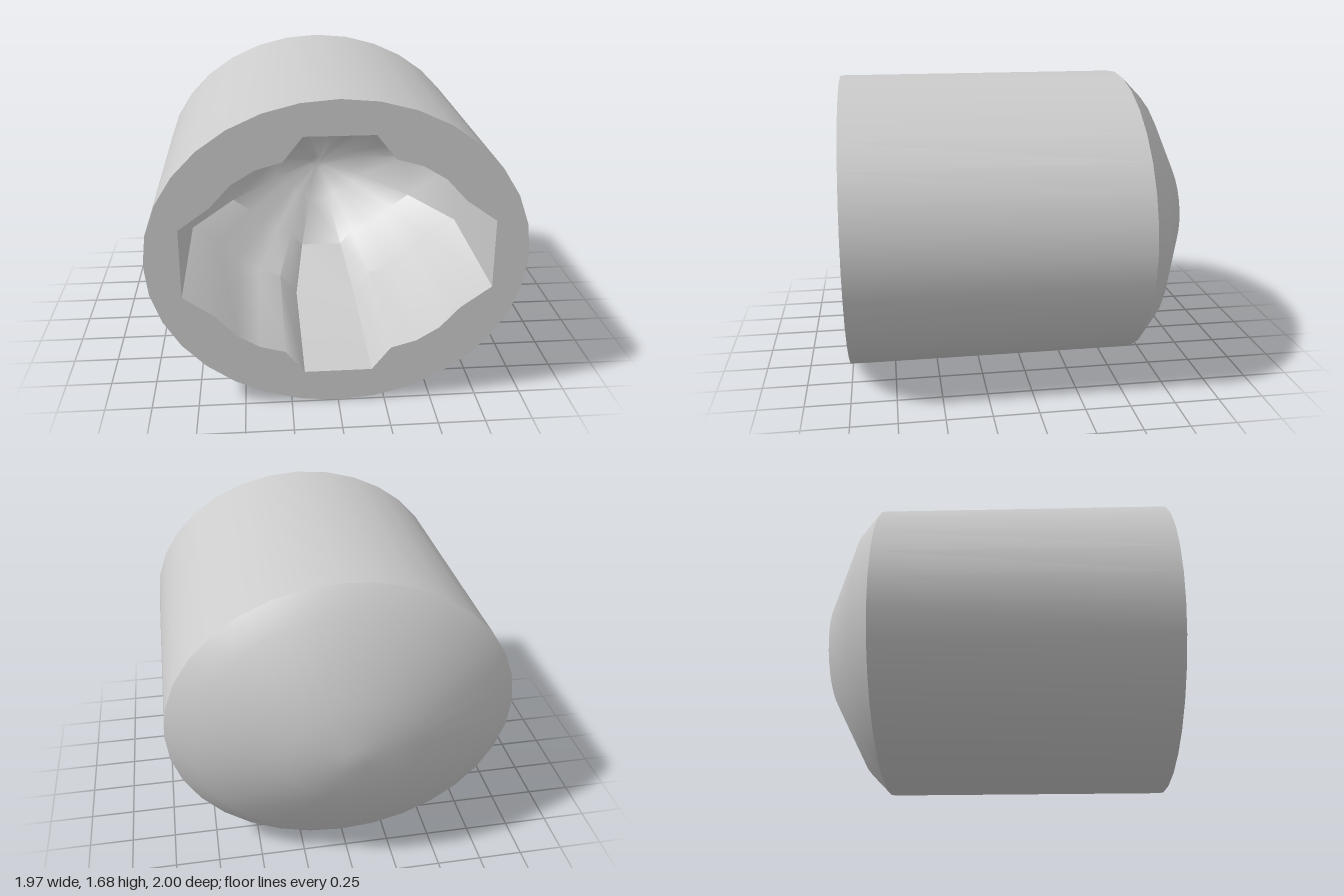
import * as THREE from 'three';
import { toCreasedNormals } from 'three/addons/utils/BufferGeometryUtils.js';

const CENTER_Y = 0.84;

// Skin a closed outline along stations [z, scale]; the last ring is closed flat.
function loft(outline, stations, inward) {
  const n = outline.length, pos = [], index = [];
  const tri = (a, b, c) => (inward ? index.push(a, c, b) : index.push(a, b, c));
  for (const [z, s] of stations) for (const p of outline) pos.push(p.x * s, p.y * s, z);
  for (let r = 0; r < stations.length - 1; r++) {
    for (let i = 0; i < n; i++) {
      const j = (i + 1) % n, a = r * n + i, b = r * n + j;
      tri(a, a + n, b);
      tri(b, a + n, b + n);
    }
  }
  const last = (stations.length - 1) * n, tip = pos.length / 3;
  pos.push(0, 0, stations[stations.length - 1][0]);
  for (let i = 0; i < n; i++) tri(last + i, tip, last + (i + 1) % n);
  const geo = new THREE.BufferGeometry();
  geo.setAttribute('position', new THREE.Float32BufferAttribute(pos, 3));
  geo.setIndex(index);
  return toCreasedNormals(geo, 0.72);
}

export function createModel() {
  const group = new THREE.Group();
  group.name = 'domedSleeve';
  const material = new THREE.MeshStandardMaterial({ color: 0xcccccc });
  const add = (name, geo) => {
    const mesh = new THREE.Mesh(geo, material);
    mesh.name = name;
    mesh.position.y = CENTER_Y;
    group.add(mesh);
  };

  // Oval outside outline, counter-clockwise
  const oval = [];
  for (let i = 0; i < 32; i++) {
    const a = (i / 32) * Math.PI * 2;
    oval.push(new THREE.Vector2(0.987 * Math.cos(a), 0.84 * Math.sin(a)));
  }

  // Socket outline: one quarter mirrored into four, with a notch on each axis
  const quarter = [[0.805, 0.186], [0.643, 0.302], [0.537, 0.418], [0.415, 0.492], [0.28, 0.53], [0.18, 0.657]];
  const socket = [];
  for (const [sx, sy] of [[1, 1], [-1, 1], [-1, -1], [1, -1]]) {
    const pts = sx * sy > 0 ? quarter : [...quarter].reverse();
    for (const [x, y] of pts) socket.push(new THREE.Vector2(x * sx, y * sy));
  }

  // Straight body ending in a shallow dome at the back
  add('outerShell', loft(oval, [[1, 1], [-0.62, 1], [-0.735, 0.86], [-0.945, 0.375], [-1, 0.07]], false));

  // Notched cavity with a rounded bottom
  add('socketCavity', loft(socket, [[1, 1], [0.1, 1], [-0.2, 0.7], [-0.42, 0.35], [-0.5, 0.07]], true));

  // Flat front rim between the two outlines
  const rim = new THREE.Shape(oval);
  rim.holes.push(new THREE.Path(socket));
  const rimGeo = new THREE.ShapeGeometry(rim);
  rimGeo.translate(0, 0, 1);
  add('frontRim', rimGeo);

  return group;
}
